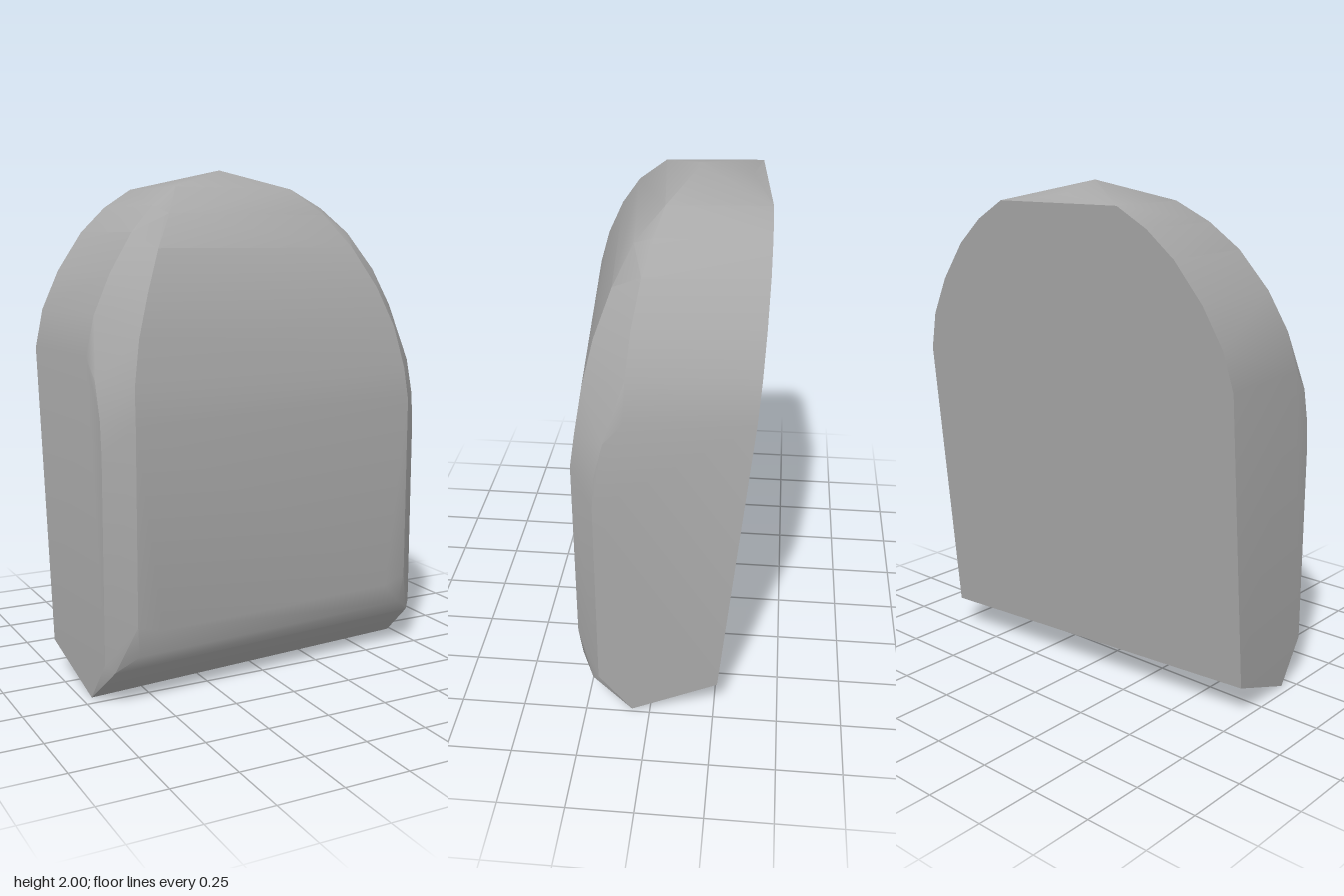
import * as THREE from 'three';
import { ConvexGeometry } from 'three/addons/geometries/ConvexGeometry.js';
import { toCreasedNormals } from 'three/addons/utils/BufferGeometryUtils.js';

export function createModel() {
  const group = new THREE.Group();
  group.name = 'archedStone';
  const stone = new THREE.MeshStandardMaterial({ color: 0xa8a8a8 });
  stone.name = 'grey stone';

  const points = [];
  const add = (x, y, z) => points.push(new THREE.Vector3(x, y, z));
  const pair = (x, y, z) => { add(x, y, z); add(-x, y, z); };
  const backZ = (y) => -0.187 - 0.098 * y; // the back leans outward with height

  // Arch: [half width, height, front depth], run straight to the leaning back
  const arch = [
    [0.73, 1.3, 0.15], [0.692, 1.45, 0.14], [0.615, 1.6, 0.12],
    [0.505, 1.75, 0.085], [0.395, 1.85, 0.045], [0.272, 1.925, 0.005],
  ];
  for (const [x, y, z] of arch) {
    pair(x, y, z);
    pair(x, y, backZ(y));
  }

  // Peaked crown
  add(0.01, 2, -0.13);
  add(0.01, 1.985, -0.22);
  add(0.01, 1.955, -0.32);

  // Front face: flat below, curving back towards the crown
  const front = [
    [0.7, 0.14, 0.285], [0.62, 0.2, 0.328], [0.53, 0.29, 0.346], [0.633, 0.32, 0.343],
    [0.633, 1.07, 0.345], [0.625, 1.2, 0.326], [0.59, 1.37, 0.297], [0.53, 1.53, 0.255],
    [0.45, 1.69, 0.19], [0.36, 1.82, 0.115],
  ];
  for (const p of front) pair(...p);

  // Chamfered front edge of the sides
  for (const [y, z] of [[0.17, 0.262], [0.95, 0.264], [1.08, 0.255], [1.22, 0.22]]) pair(0.73, y, z);

  // Sloping underside
  pair(0.727, 0, 0.134);
  pair(0.73, 0.13, backZ(0.13));

  const body = new THREE.Mesh(toCreasedNormals(new ConvexGeometry(points), 0.6), stone);
  body.name = 'stoneBody';
  body.rotation.y = 0.087;
  group.add(body);
  return group;
}
